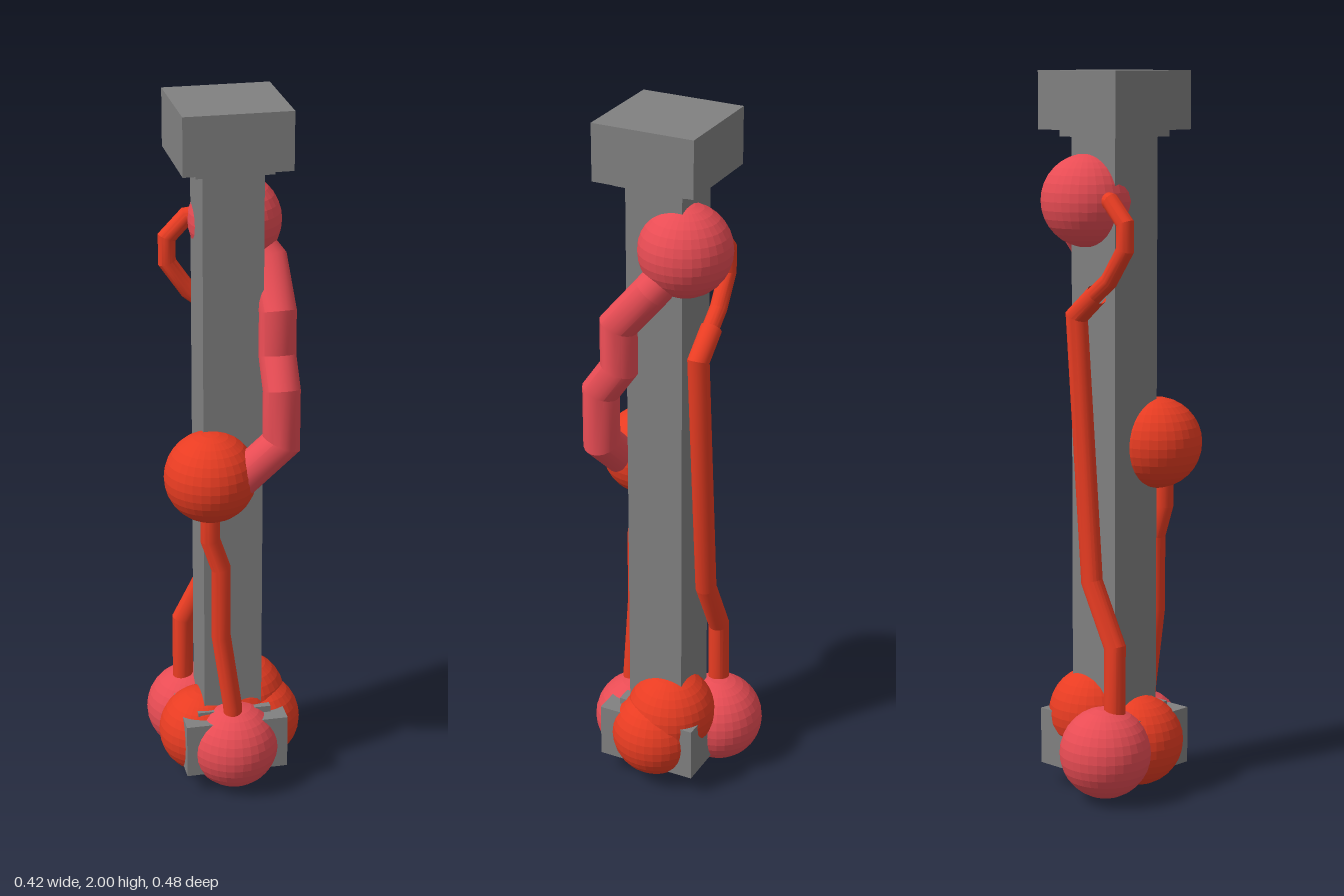
import * as THREE from 'three';
import { toCreasedNormals } from 'three/addons/utils/BufferGeometryUtils.js';

const paint = (color, options) => new THREE.MeshStandardMaterial({ color, ...options });
const stone = paint(0x808080);
const orange = paint(0xe83c22, { side: THREE.DoubleSide });
const pink = paint(0xe84c54, { side: THREE.DoubleSide });
const orangeBall = paint(0xe83c22, { flatShading: true });
const pinkBall = paint(0xe84c54, { flatShading: true });

// Straight-sided pipe through the points, with mitred corners
function pipeGeometry(points, radius, sides = 20) {
  const p = points.map((a) => new THREE.Vector3(...a));
  const dirs = p.slice(1).map((q, i) => q.clone().sub(p[i]).normalize());
  const u = new THREE.Vector3(0.3, 0.1, 1).cross(dirs[0]).normalize();
  const v = dirs[0].clone().cross(u);
  const rings = [[]];
  for (let j = 0; j < sides; j++) {
    const a = (j / sides) * Math.PI * 2;
    rings[0].push(p[0].clone()
      .addScaledVector(u, Math.cos(a) * radius)
      .addScaledVector(v, Math.sin(a) * radius));
  }
  // slide each ring along its segment onto the next mitre plane
  dirs.forEach((d, i) => {
    const n = d.clone().add(dirs[i + 1] ?? d).normalize();
    rings.push(rings[i].map((q) =>
      q.clone().addScaledVector(d, p[i + 1].clone().sub(q).dot(n) / d.dot(n))));
  });
  const index = [];
  for (let i = 0; i < dirs.length; i++) {
    for (let j = 0; j < sides; j++) {
      const k = (j + 1) % sides;
      const a = i * sides + j, b = i * sides + k;
      index.push(a, b, b + sides, a, b + sides, a + sides);
    }
  }
  const g = new THREE.BufferGeometry().setFromPoints(rings.flat());
  g.setIndex(index);
  return toCreasedNormals(g, 0.4);
}

export function createModel() {
  const model = new THREE.Group();
  model.name = 'columnWithSpheres';

  const add = (name, geometry, material, x = 0, y = 0, z = 0) => {
    const mesh = new THREE.Mesh(geometry, material);
    mesh.name = name;
    mesh.position.set(x, y, z);
    model.add(mesh);
  };

  // Square column: base block, steps, shaft and cap
  const block = (name, width, y0, y1) =>
    add(name, new THREE.BoxGeometry(width, y1 - y0, width), stone, 0, (y0 + y1) / 2, 0.011);
  block('base', 0.292, 0.066, 0.225);
  block('baseStep', 0.21, 0.225, 0.244);
  block('shaft', 0.165, 0.244, 1.823);
  block('capStep', 0.21, 1.823, 1.842);
  block('cap', 0.292, 1.842, 2.0);

  // Spheres around the foot, the middle and the top
  const ball = new THREE.SphereGeometry(0.127, 32, 16);
  [
    ['topSphere', pinkBall, 0.035, 1.652, -0.058],
    ['middleSphere', orangeBall, -0.067, 0.98, 0.11],
    ['footSphereFront', pinkBall, 0, 0.132, 0.108],
    ['footSphereBack', pinkBall, -0.085, 0.14, -0.112],
    ['footSphereRight', orangeBall, -0.074, 0.144, 0.03],
    ['footSphereLeft', orangeBall, 0.085, 0.153, 0.008],
    ['footSphereUpper', orangeBall, 0.048, 0.213, -0.022],
  ].forEach(([name, material, ...pos]) => add(name, ball, material, ...pos));

  // Thick pipe from the top sphere round to the middle sphere
  add('upperPipe', pipeGeometry([
    [0.05, 1.635, -0.055], [0.115, 1.55, 0.005], [0.119, 1.44, 0.098],
    [0.119, 1.315, 0.098], [0.119, 1.235, 0.154], [0.119, 1.083, 0.154], [0.005, 0.98, 0.15],
  ], 0.051), pink);

  // Thin pipe from the middle sphere down the front
  add('frontPipe', pipeGeometry([
    [-0.073, 0.95, 0.134], [-0.073, 0.8, 0.134], [-0.043, 0.71, 0.134],
    [-0.043, 0.5, 0.134], [-0.01, 0.27, 0.134], [-0.005, 0.17, 0.13],
  ], 0.027), orange);

  // Thin looped pipe from the top sphere to the back
  add('loopPipe', pipeGeometry([
    [0.02, 1.675, -0.07], [-0.09, 1.655, -0.096], [-0.143, 1.6, -0.096],
    [-0.143, 1.53, -0.096], [-0.085, 1.445, -0.097], [0.01, 1.37, -0.098],
  ], 0.024), orange);

  // Wider pipe carrying the loop on down the back
  add('backPipe', pipeGeometry([
    [-0.04, 1.405, -0.098], [0.037, 1.34, -0.098], [-0.02, 0.61, -0.098],
    [-0.108, 0.44, -0.098], [-0.108, 0.16, -0.1],
  ], 0.03), orange);

  return model;
}
